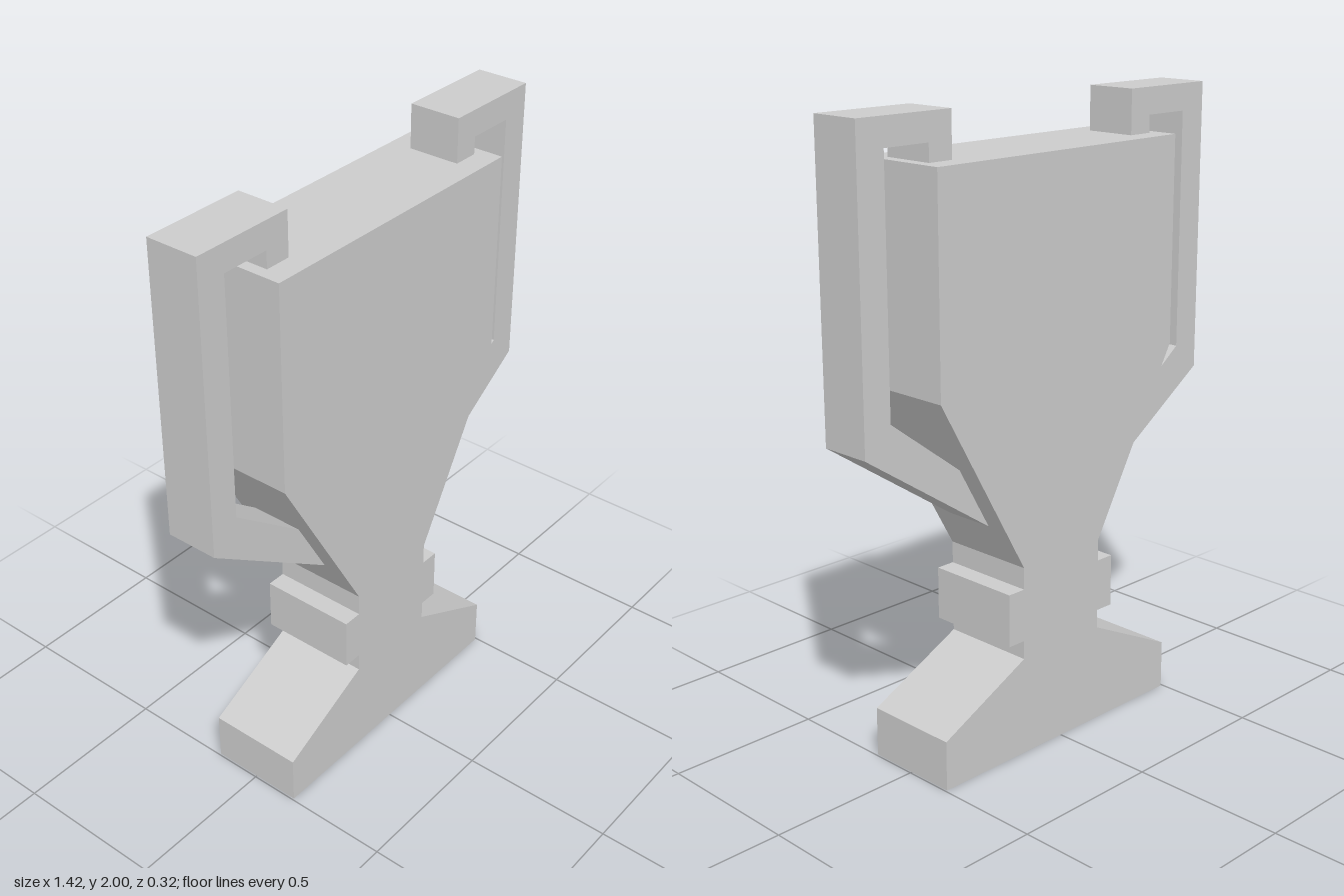
import * as THREE from 'three';

const material = new THREE.MeshStandardMaterial({ color: 0xcccccc, flatShading: true });

// Extrudes a closed outline to the given depth, centred on z = 0.
function slab(name, points, depth) {
  const shape = new THREE.Shape(points.map(([x, y]) => new THREE.Vector2(x, y)));
  const geometry = new THREE.ExtrudeGeometry(shape, { depth, bevelEnabled: false });
  geometry.translate(0, 0, -depth / 2);
  const mesh = new THREE.Mesh(geometry, material);
  mesh.name = name;
  return mesh;
}

const mirrorX = (points) => points.map(([x, y]) => [-x, y]).reverse();

export function createModel() {
  const group = new THREE.Group();
  group.name = 'trophyCup';

  // Base, stem with collar and cup, as one half outline mirrored
  const half = [
    [0.494, 0], [0.494, 0.16], [0.166, 0.32], [0.166, 0.38], [0.229, 0.38],
    [0.229, 0.55], [0.166, 0.55], [0.166, 0.62], [0.494, 1.2], [0.494, 1.86],
  ];
  group.add(slab('cupBody', [...half, ...mirrorX(half)], 0.316));

  // Handle: hooks over the rim, drops down and slants back into the cup
  const handle = [
    [0.242, 0.755], [0.711, 1.07], [0.711, 2], [0.372, 2], [0.372, 1.86],
    [0.457, 1.86], [0.457, 1.915], [0.616, 1.915], [0.616, 1.155], [0.358, 0.96],
  ];
  group.add(slab('leftHandle', handle, 0.17));
  group.add(slab('rightHandle', mirrorX(handle), 0.17));

  return group;
}
